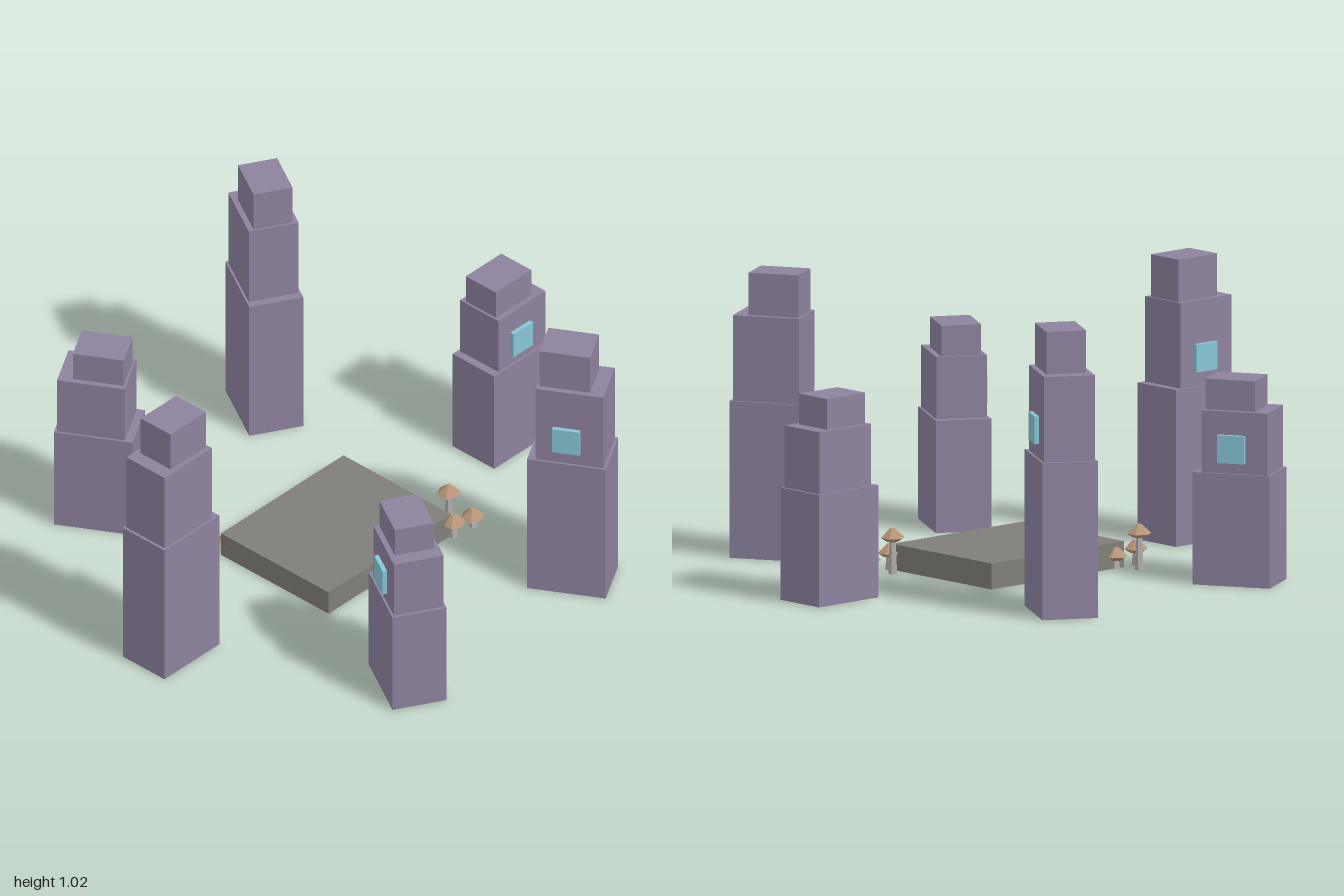
import * as THREE from 'three';

const material = (name, color) => {
  const m = new THREE.MeshStandardMaterial({ color, flatShading: true });
  m.name = name;
  return m;
};

export function createModel() {
  const stone = material('purple stone', 0x8d829e);
  const slab = material('grey slab', 0x807e79);
  const crystal = material('pale cyan', 0x86c6d6);
  const capTan = material('mushroom tan', 0xb8967a);
  const stemGrey = material('stem grey', 0xb2aeac);

  const model = new THREE.Group();
  model.name = 'stoneCircle';

  const add = (parent, name, geometry, mat, x, y, z) => {
    const mesh = new THREE.Mesh(geometry, mat);
    mesh.name = name;
    mesh.position.set(x, y, z);
    parent.add(mesh);
    return mesh;
  };
  const box = (parent, name, mat, w, d, y0, y1, x = 0, z = 0) =>
    add(parent, name, new THREE.BoxGeometry(w, y1 - y0, d), mat, x, (y0 + y1) / 2, z);

  // Central platform
  box(model, 'platform', slab, 0.636, 0.518, 0, 0.093);

  // Six stepped pillars in a ring, alternately short and tall
  for (let i = 0; i < 6; i++) {
    const a = (i * Math.PI) / 3;
    const tall = i % 2 === 1;
    const [h1, h2, h3, rune] = tall ? [0.563, 0.87, 1.022, 0.665] : [0.403, 0.626, 0.736, 0.492];
    const pillar = new THREE.Group();
    pillar.name = tall ? 'tallPillar' : 'shortPillar';
    pillar.position.set(0.856 * Math.cos(a), 0, 0.856 * Math.sin(a));
    pillar.rotation.y = -a;
    box(pillar, 'pillarBase', stone, 0.285, 0.2, 0, h1);
    box(pillar, 'pillarMiddle', stone, 0.245, 0.184, h1, h2, 0.01);
    box(pillar, 'pillarTop', stone, 0.184, 0.144, h2, h3, -0.012);
    // Glowing square on the side
    box(pillar, 'crystalPanel', crystal, 0.1, 0.02, rune - 0.05, rune + 0.05, 0, 0.098);
    model.add(pillar);
  }

  // Two clusters of three mushrooms at opposite platform corners
  const cap = new THREE.CylinderGeometry(0.01, 0.043, 0.033, 6);
  const underside = new THREE.CylinderGeometry(0.043, 0.022, 0.014, 6);
  const mushrooms = [[0.369, 0.2, 0.163], [0.321, 0.268, 0.093], [0.412, 0.276, 0.076]];
  for (const [dx, dz] of [[0, 0], [-0.693, -0.531]]) {
    const cluster = new THREE.Group();
    cluster.name = 'mushroomCluster';
    cluster.position.set(dx, 0, dz);
    for (const [x, z, h] of mushrooms) {
      const stemHeight = h - 0.04;
      add(cluster, 'mushroomStem', new THREE.CylinderGeometry(0.011, 0.016, stemHeight, 6), stemGrey, x, stemHeight / 2, z);
      add(cluster, 'mushroomCap', cap, capTan, x, h - 0.0165, z);
      add(cluster, 'mushroomUnderside', underside, capTan, x, h - 0.04, z);
    }
    model.add(cluster);
  }

  return model;
}
